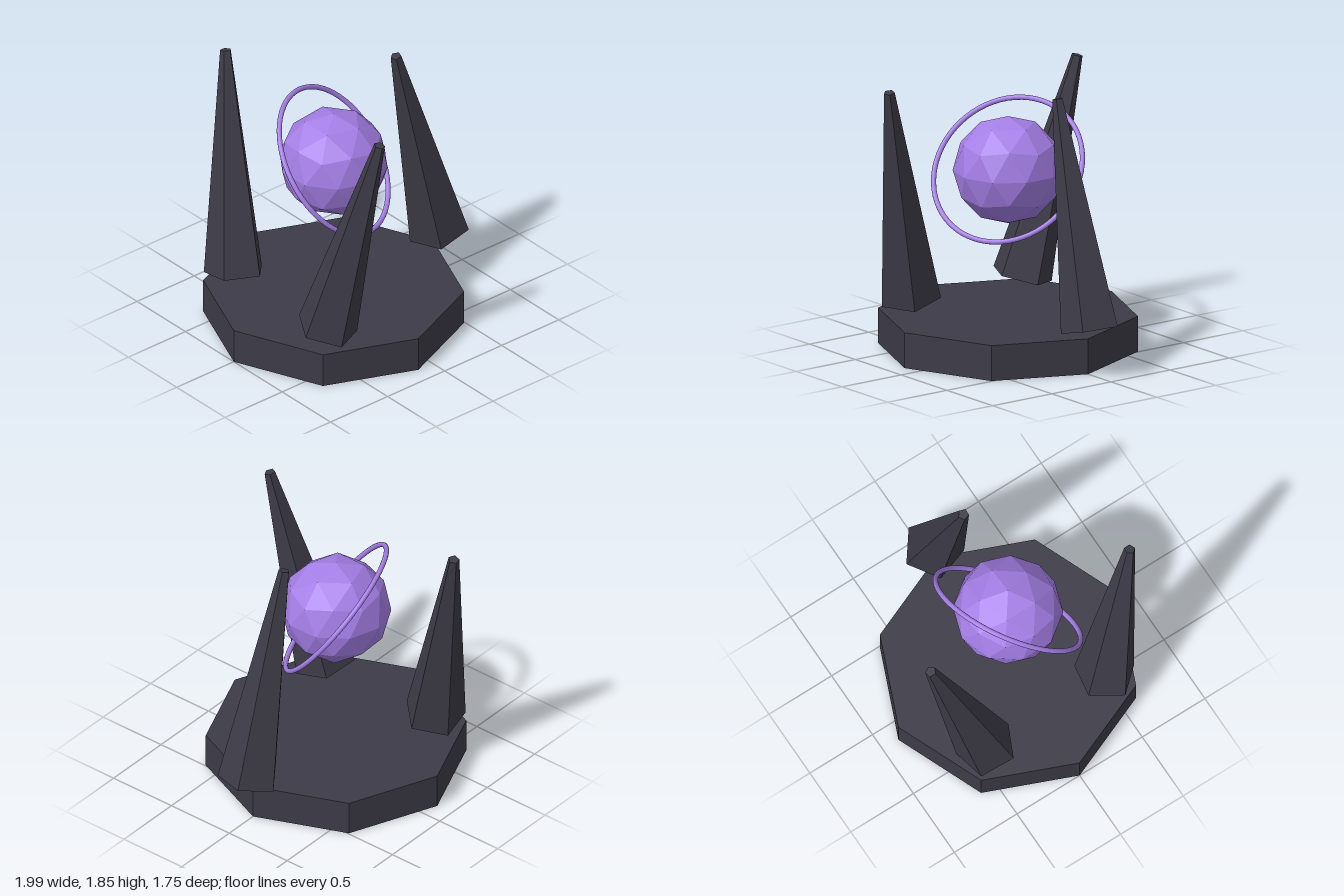
import * as THREE from 'three';

export function createModel() {
  const group = new THREE.Group();
  const stone = new THREE.MeshStandardMaterial({ color: 0x3d3b47, flatShading: true });
  const crystal = new THREE.MeshStandardMaterial({ color: 0xa47ee6, flatShading: true });
  const glow = new THREE.MeshStandardMaterial({ color: 0xa47ee6 });
  const hubX = -0.125;
  const orbHeight = 1.23;

  function add(name, geometry, material, x, y, z) {
    const mesh = new THREE.Mesh(geometry, material);
    mesh.name = name;
    mesh.position.set(x, y, z);
    group.add(mesh);
    return mesh;
  }

  // Octagonal plinth
  add('base', new THREE.CylinderGeometry(0.875, 0.875, 0.245, 8), stone, hubX, 0.1225, 0);

  // Faceted orb, turned so one corner points straight up
  const orb = new THREE.IcosahedronGeometry(0.37, 1);
  orb.rotateZ(-Math.atan(2 / (1 + Math.sqrt(5))));
  add('orb', orb, crystal, hubX, orbHeight, 0);

  // Thin tilted ring around the orb
  const ring = add('ring', new THREE.TorusGeometry(0.53, 0.0175, 12, 64), glow, hubX, orbHeight, 0);
  ring.rotation.set(-Math.PI / 4, 0, -Math.PI / 6, 'ZYX');

  // Three floating five-sided pillars, each leaned and then spun about its own centre
  const pillar = new THREE.CylinderGeometry(0.038, 0.211, 1.56, 5);
  pillar.rotateY(Math.PI);
  const lean = 0.242;
  const orbit = 0.732;
  for (let i = 0; i < 3; i++) {
    const a = (i * Math.PI * 2) / 3;
    const c = Math.cos(a);
    const s = Math.sin(a);
    const mesh = add('pillar' + (i + 1), pillar, stone, hubX + orbit * c, 1.079, -orbit * s);
    mesh.rotation.set(lean * s, a, lean * c, 'YZX');
  }

  return group;
}
